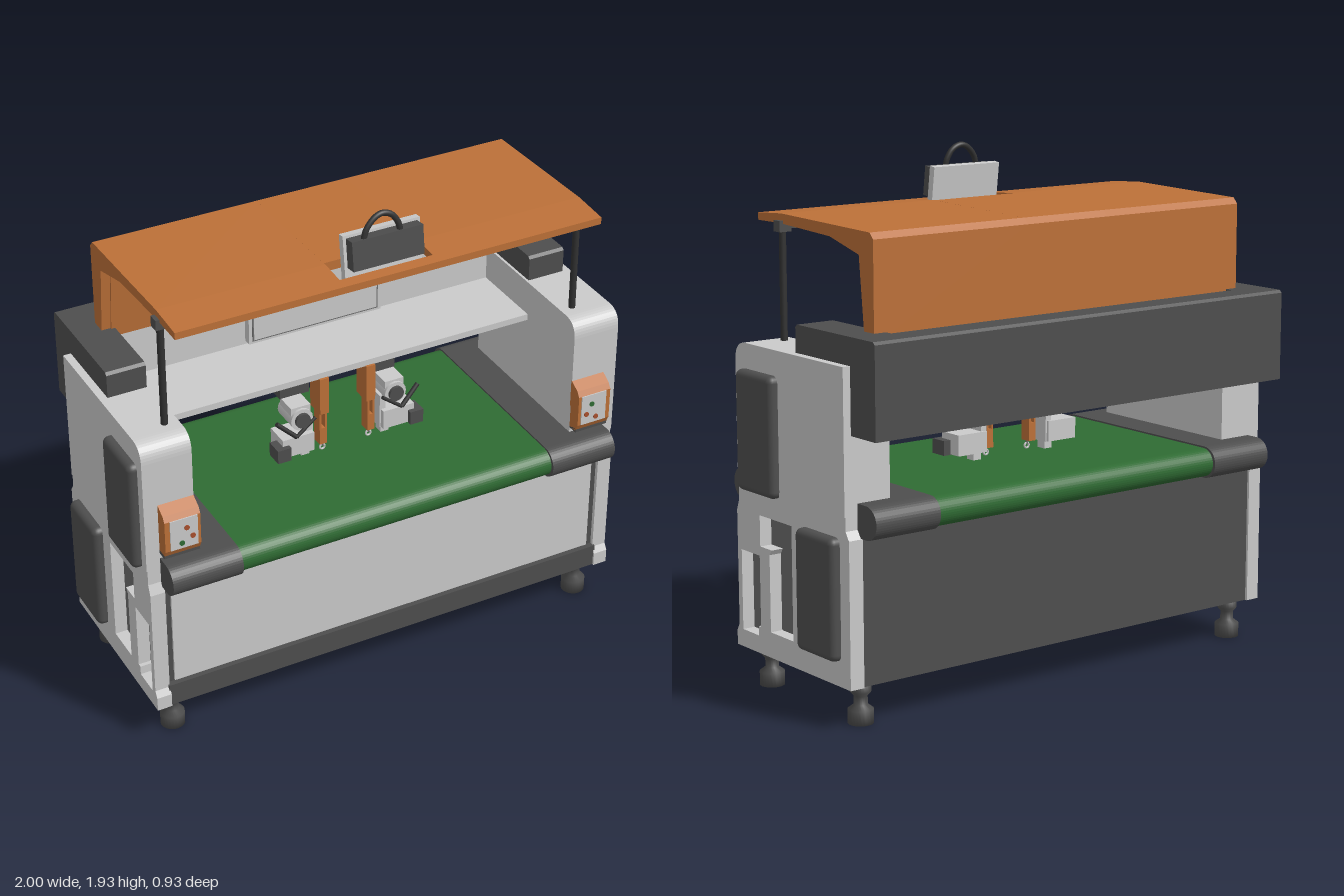
import * as THREE from 'three';
import { RoundedBoxGeometry } from 'three/addons/geometries/RoundedBoxGeometry.js';

const mat = (name, color) => {
  const m = new THREE.MeshStandardMaterial({ color });
  m.name = name;
  return m;
};

export function createModel() {
  const light = mat('light grey paint', 0xcacaca);
  const dark = mat('dark grey', 0x4e4e4e);
  const black = mat('black rubber', 0x323232);
  const mid = mat('recess grey', 0x6c6c6c);
  const orange = mat('orange paint', 0xbc7038);
  const green = mat('green belt', 0x2f6b33);
  const red = mat('red button', 0xa8502e);

  const root = new THREE.Group();
  root.name = 'conveyorMachine';

  const add = (name, geo, m, parent = root) => {
    const mesh = new THREE.Mesh(geo, m);
    mesh.name = name;
    parent.add(mesh);
    return mesh;
  };
  // Box given by its two limits on each axis
  const box = (name, m, [x0, x1], [y0, y1], [z0, z1], parent = root) => {
    const g = new THREE.BoxGeometry(Math.abs(x1 - x0), y1 - y0, z1 - z0);
    g.translate((x0 + x1) / 2, (y0 + y1) / 2, (z0 + z1) / 2);
    return add(name, g, m, parent);
  };
  const toShape = pts => new THREE.Shape(pts.map(p => new THREE.Vector2(...p)));
  // Side profile in (z, y), extruded across x from xa to xb
  const prism = (name, m, profile, xa, xb, holes = []) => {
    const shape = Array.isArray(profile) ? toShape(profile) : profile;
    shape.holes = holes.map(toShape);
    const g = new THREE.ExtrudeGeometry(shape, { depth: Math.abs(xb - xa), bevelEnabled: false, curveSegments: 10 });
    g.rotateY(-Math.PI / 2).translate(Math.max(xa, xb), 0, 0);
    return add(name, g, m);
  };
  const rod = (name, m, r, a, b, parent = root) => {
    const va = new THREE.Vector3(...a), vb = new THREE.Vector3(...b);
    const mesh = add(name, new THREE.CylinderGeometry(r, r, va.distanceTo(vb), 16), m, parent);
    mesh.position.copy(va).add(vb).multiplyScalar(0.5);
    mesh.quaternion.setFromUnitVectors(new THREE.Vector3(0, 1, 0), vb.sub(va).normalize());
    return mesh;
  };

  // Base cabinet with its front panel
  box('cabinet', dark, [-0.91, 0.91], [0.15, 0.7], [-0.33, 0.355]);
  box('cabinetSill', dark, [-0.91, 0.91], [0.15, 0.24], [0.35, 0.378]);
  box('frontPanel', light, [-0.88, 0.88], [0.245, 0.655], [0.35, 0.363]);

  // Conveyor: green belt between two dark end covers
  const loop = (r, z0, z1) => {
    const s = new THREE.Shape();
    s.absarc(z1 - r, 0.742, r, -Math.PI / 2, Math.PI / 2, false);
    s.absarc(z0 + r, 0.742, r, Math.PI / 2, Math.PI * 1.5, false);
    return s;
  };
  prism('belt', green, loop(0.054, -0.42, 0.452), -0.645, 0.645);

  const towerShape = () => {
    const s = new THREE.Shape();
    s.moveTo(-0.32, 0.76);
    s.lineTo(0.355, 0.76);
    s.lineTo(0.355, 1.21);
    s.quadraticCurveTo(0.355, 1.28, 0.285, 1.28);
    s.lineTo(-0.32, 1.28);
    return s;
  };
  const sidePlate = [[-0.34, 0.15], [0.385, 0.15], [0.385, 0.205], [0.37, 0.23], [0.37, 0.66],
    [0.355, 0.7], [0.355, 0.78], [-0.32, 0.78], [-0.32, 0.71], [-0.34, 0.68]];
  const rearSlot = [[0.22, 0.665], [0.015, 0.665], [0.015, 0.245], [0.16, 0.245], [0.16, 0.53], [0.145, 0.55], [0.22, 0.55]];
  const frontSlot = [[0.345, 0.515], [0.225, 0.515], [0.225, 0.25], [0.24, 0.25], [0.24, 0.215], [0.345, 0.215]];
  const footProfile = [[0, 0], [0.046, 0], [0.046, 0.052], [0.025, 0.068], [0.025, 0.1], [0.038, 0.115], [0.038, 0.152], [0, 0.152]];

  for (const s of [1, -1]) {
    const X = (a, b) => [s * a, s * b];
    prism('beltEndCover', dark, loop(0.06, -0.432, 0.465), s * 0.64, s * 0.912);
    prism('sideTower', light, towerShape(), s * 0.775, s * 0.965);
    prism('lowerSidePlate', light, sidePlate, s * 0.905, s * 0.962, [rearSlot, frontSlot]);
    box('recessFloor', mid, X(0.9, 0.914), [0.2, 0.68], [0, 0.35]);

    // Raised service covers on the outer side
    for (const [z, y] of [[0.2, 0.968], [-0.168, 0.46]]) {
      const cover = add('serviceCover', new RoundedBoxGeometry(0.09, 0.44, 0.232, 3, 0.025), dark);
      cover.position.set(s * 0.955, y, z);
    }

    // Levelling feet
    for (const z of [0.3, -0.265]) {
      const foot = add('foot', new THREE.LatheGeometry(footProfile.map(p => new THREE.Vector2(...p)), 24), dark);
      foot.position.set(s * 0.87, 0, z);
    }

    // Beam end that wraps over the tower
    prism('beamEnd', dark, [[0.01, 1.27], [0.01, 1.37], [0, 1.38], [-0.36, 1.38], [-0.36, 1.04], [-0.31, 1.04], [-0.31, 1.27]],
      s * 0.785, s * 0.935);

    // Hood post with its clamp
    rod('hoodPost', black, 0.013, [s * 0.826, 1.27, 0.248], [s * 0.826, 1.7, 0.248]);
    box('postClamp', dark, X(0.8, 0.85), [1.67, 1.71], [0.228, 0.268]);
    box('postBracket', dark, X(0.765, 0.82), [1.68, 1.7], [0.235, 0.26]);

    // Control box with face plate and buttons
    prism('controlBox', orange, [[0.35, 0.83], [0.393, 0.83], [0.408, 0.86], [0.408, 0.985], [0.395, 1.005], [0.35, 1.032]],
      s * 0.775, s * 0.912);
    box('controlPlate', light, X(0.787, 0.893), [0.862, 0.985], [0.405, 0.412]);
    box('controlBoxBase', dark, X(0.775, 0.912), [0.824, 0.838], [0.35, 0.396]);
    for (const [x, y, m] of [[0.83, 0.945, s > 0 ? green : red], [0.85, 0.885, s > 0 ? red : green], [0.808, 0.905, red]]) {
      rod('button', m, 0.01, [s * x, y, 0.41], [s * x, y, 0.416]);
    }
  }

  // Rear beam, back panel, shelf and screen
  prism('rearBeam', dark, [[-0.35, 1.04], [-0.35, 1.38], [-0.455, 1.38], [-0.465, 1.37], [-0.465, 1.04]], -0.935, 0.935);
  box('backPanel', light, [-0.785, 0.785], [1.12, 1.36], [-0.31, -0.28]);
  box('shelf', light, [-0.775, 0.775], [1.12, 1.145], [-0.29, 0.03]);
  box('screenCase', light, [-0.275, 0.275], [1.18, 1.505], [-0.25, -0.217]);
  box('screenBorder', mid, [-0.262, 0.262], [1.19, 1.502], [-0.219, -0.215]);
  box('screenFace', light, [-0.256, 0.256], [1.196, 1.496], [-0.217, -0.212]);

  // Hood, with an opening near its front edge
  const hoodBack = [[-0.32, 1.34], [-0.32, 1.7], [-0.3, 1.722]];
  const hoodInner = [[-0.06, 1.685], [-0.235, 1.64], [-0.265, 1.34]];
  const hoodFull = [...hoodBack, [0.24, 1.735], [0.39, 1.725], [0.39, 1.698], [0.25, 1.7], ...hoodInner];
  prism('hoodRight', orange, hoodFull, -0.835, -0.195);
  prism('hoodLeft', orange, hoodFull, 0.17, 0.835);
  prism('hoodCentre', orange, [...hoodBack, [0.23, 1.735], [0.23, 1.7], ...hoodInner], -0.195, 0.17);
  prism('hoodFrontLip', orange, [[0.345, 1.728], [0.39, 1.725], [0.39, 1.698], [0.345, 1.699]], -0.195, 0.17);
  for (const [a, b] of [[-0.8, -0.435], [-0.385, 0.385], [0.435, 0.8]]) {
    const panel = box('hoodInnerPanel', orange, [a, b], [-0.135, 0.135], [-0.004, 0.004]);
    panel.position.set(0, 1.485, -0.248);
    panel.rotation.x = 0.1;
  }
  for (const x of [-0.405, 0.405]) box('hoodRib', dark, [x - 0.025, x + 0.025], [1.64, 1.685], [-0.2, -0.05]);

  // Tilted lamp unit with carrying handle
  const lamp = new THREE.Group();
  lamp.name = 'lampUnit';
  lamp.position.set(0, 1.755, 0.285);
  lamp.rotation.x = -0.13;
  root.add(lamp);
  box('lampPlate', light, [-0.152, 0.15], [-0.1, 0.1], [-0.015, 0.013], lamp);
  box('lampHousing', dark, [-0.14, 0.138], [-0.02, 0.09], [0.01, 0.058], lamp);
  box('lampLens', dark, [-0.14, 0.138], [-0.095, -0.072], [0.01, 0.02], lamp);
  const handlePath = new THREE.CatmullRomCurve3([[-0.09, 0.08], [-0.075, 0.12], [-0.04, 0.155], [-0.01, 0.164],
    [0.025, 0.15], [0.048, 0.115], [0.055, 0.08]].map(([x, y]) => new THREE.Vector3(x, y, 0.045)));
  add('lampHandle', new THREE.TubeGeometry(handlePath, 32, 0.011, 10), black, lamp);

  // Pair of working heads hanging under the shelf
  for (const s of [1, -1]) {
    const head = new THREE.Group();
    head.name = s > 0 ? 'leftHead' : 'rightHead';
    root.add(head);
    const b = (name, m, x0, x1, y, z) => box(name, m, [s * x0, s * x1], y, z, head);
    b('headBracket', dark, 0.12, 0.24, [1.03, 1.105], [-0.2, -0.04]);
    b('headCarriage', dark, 0.14, 0.22, [1.0, 1.12], [-0.3, -0.12]);
    // Forked orange arm
    b('armUpper', orange, 0.078, 0.115, [0.97, 1.122], [-0.04, 0.04]);
    b('armFork', orange, 0.085, 0.093, [0.89, 0.97], [-0.01, 0.035]);
    b('armFork', orange, 0.107, 0.115, [0.89, 0.97], [-0.01, 0.035]);
    b('armTip', orange, 0.085, 0.115, [0.835, 0.905], [-0.01, 0.035]);
    rod('needle', mid, 0.005, [s * 0.097, 0.82, 0.02], [s * 0.097, 0.84, 0.02], head);
    const ring = add('needleRing', new THREE.TorusGeometry(0.01, 0.004, 8, 16), light, head);
    ring.position.set(s * 0.097, 0.814, 0.02);
    // Motor and lower carriage
    rod('motor', light, 0.045, [s * 0.195, 0.98, -0.06], [s * 0.195, 0.98, 0.05], head);
    rod('motorCap', dark, 0.03, [s * 0.195, 0.98, 0.05], [s * 0.195, 0.98, 0.062], head);
    b('motorTop', light, 0.155, 0.235, [1.0, 1.032], [-0.05, 0.04]);
    b('headBody', light, 0.145, 0.275, [0.832, 0.91], [-0.05, 0.05]);
    b('headColumn', light, 0.14, 0.165, [0.83, 0.97], [-0.04, 0.03]);
    b('sensor', dark, 0.25, 0.305, [0.83, 0.885], [0, 0.07]);
    b('spindle', light, 0.15, 0.185, [0.8, 0.835], [-0.02, 0.02]);
    rod('brace', black, 0.009, [s * 0.295, 0.985, 0.04], [s * 0.22, 0.915, 0.055], head);
    rod('brace', black, 0.007, [s * 0.22, 0.915, 0.055], [s * 0.14, 0.975, 0.05], head);
  }
  return root;
}
